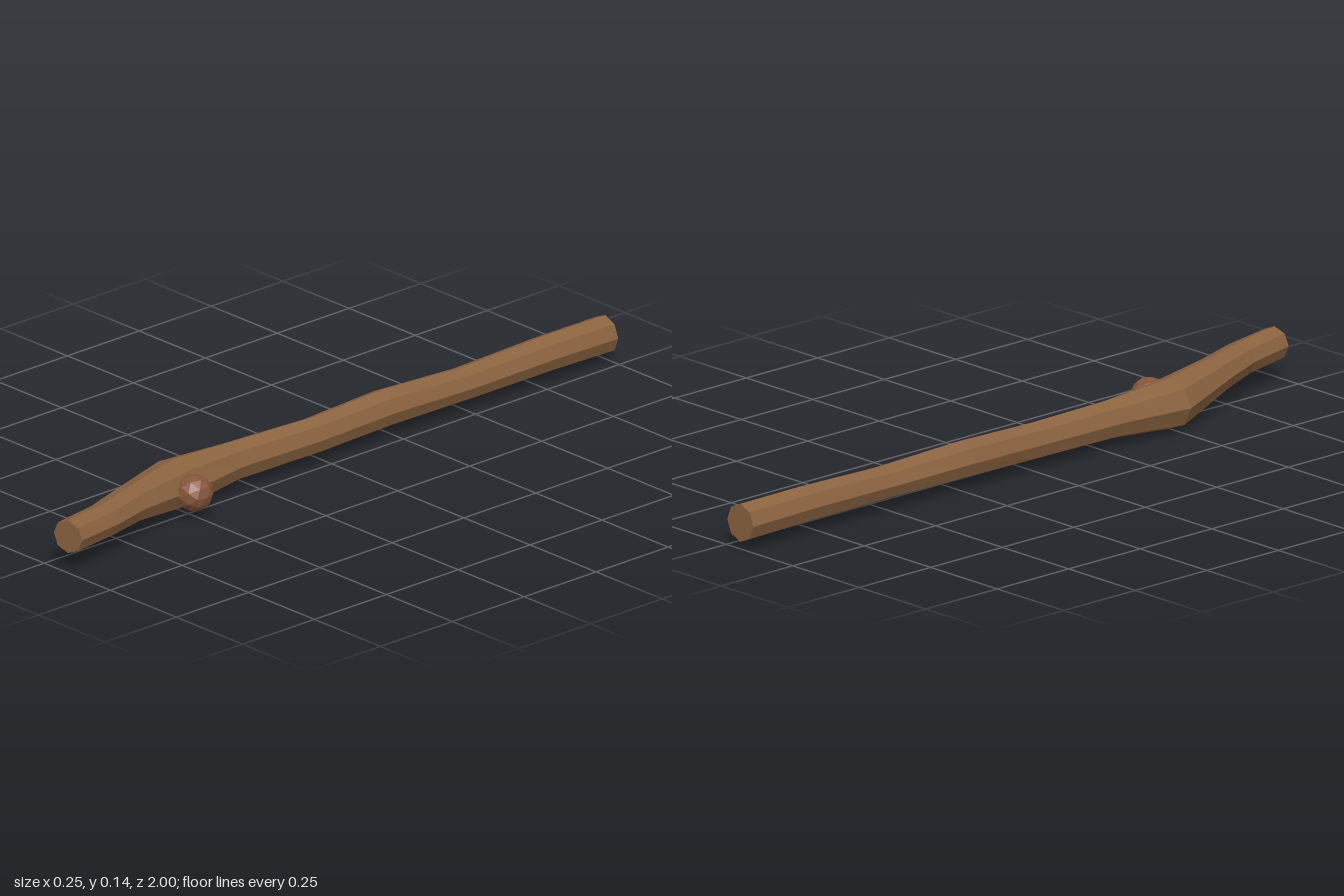
import * as THREE from 'three';

const SIDES = 8;

export function createModel() {
  const group = new THREE.Group();
  group.name = 'woodenStick';
  const bark = new THREE.MeshStandardMaterial({ color: 0x8b6340, flatShading: true });
  const knotWood = new THREE.MeshStandardMaterial({ color: 0x85553a, flatShading: true });

  // Cross-sections from back to front: z, centre x, centre y, radius x, radius y, skew of the ring
  const sections = [
    [-1.0, -0.053, 0.071, 0.049, 0.051, 0],
    [-0.78, -0.052, 0.074, 0.048, 0.049, 0],
    [-0.5, -0.05, 0.071, 0.046, 0.045, 0],
    [-0.23, -0.056, 0.076, 0.049, 0.051, 0],
    [0.02, -0.051, 0.07, 0.045, 0.05, 0],
    [0.3, -0.057, 0.073, 0.05, 0.053, 0],
    [0.5, -0.053, 0.069, 0.07, 0.068, -0.15],
    [0.72, 0.01, 0.087, 0.05, 0.049, -0.3],
    [0.84, 0.05, 0.092, 0.048, 0.045, -0.25],
    [0.99, 0.079, 0.095, 0.045, 0.045, -0.18],
  ];

  // Stick: a faceted tube through the sections, closed by a fan at each end
  const positions = [];
  const index = [];
  for (const [z, cx, cy, rx, ry, skew] of sections) {
    for (let i = 0; i < SIDES; i++) {
      const a = (i / SIDES) * Math.PI * 2;
      const dx = Math.cos(a) * rx;
      positions.push(cx + dx, cy + Math.sin(a) * ry, z + dx * skew);
    }
  }
  for (let s = 0; s < sections.length - 1; s++) {
    for (let i = 0; i < SIDES; i++) {
      const a = s * SIDES + i;
      const b = s * SIDES + ((i + 1) % SIDES);
      index.push(a, b, b + SIDES, a, b + SIDES, a + SIDES);
    }
  }
  const last = (sections.length - 1) * SIDES;
  for (let i = 1; i < SIDES - 1; i++) {
    index.push(0, i + 1, i);
    index.push(last, last + i, last + i + 1);
  }
  const geometry = new THREE.BufferGeometry();
  geometry.setAttribute('position', new THREE.Float32BufferAttribute(positions, 3));
  geometry.setIndex(index);
  geometry.computeVertexNormals();
  const stick = new THREE.Mesh(geometry, bark);
  stick.name = 'stick';
  group.add(stick);

  // Knot: a faceted stub on the inside of the bend
  const knot = new THREE.Mesh(new THREE.IcosahedronGeometry(0.05, 1), knotWood);
  knot.name = 'knot';
  knot.position.set(0.031, 0.07, 0.508);
  knot.scale.set(1, 0.98, 1.02);
  group.add(knot);

  return group;
}
